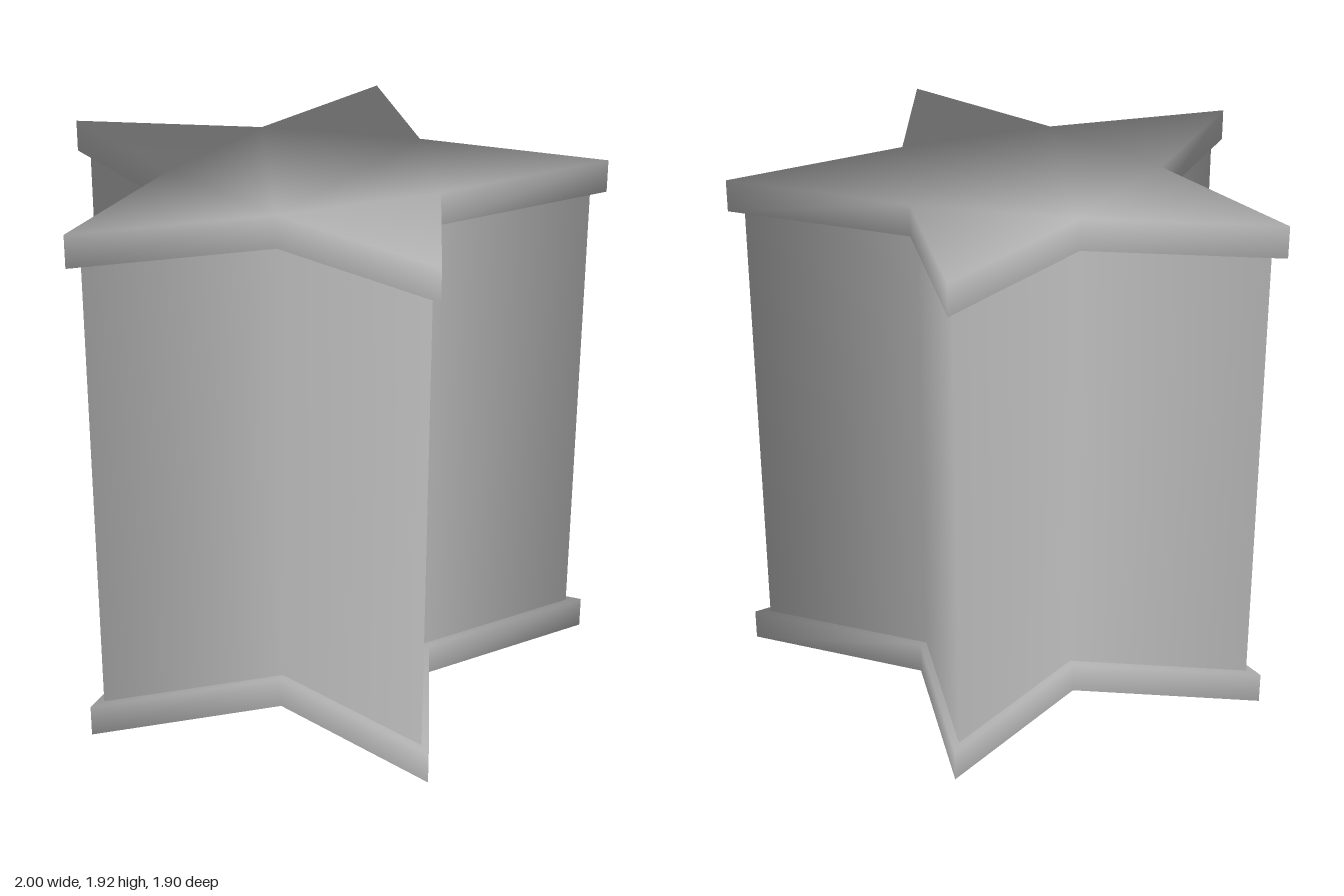
import * as THREE from 'three';

const TIP = 1.051, NOTCH = 0.51, CENTRE_Z = 0.1;

// Star prism with soft normals shared by its walls and caps; even corners are notches, odd are tips
function starPrism(scale, height, lift) {
  const positions = [], normals = [], index = [];
  for (const side of [0, 1]) {
    for (let i = 0; i < 10; i++) {
      const a = (i * Math.PI) / 5;
      const r = scale * (i % 2 ? TIP : NOTCH);
      positions.push(r * Math.sin(a), side * height, r * Math.cos(a));
      const n = new THREE.Vector3(Math.sin(a), side ? lift : -lift, Math.cos(a)).normalize();
      normals.push(n.x, n.y, n.z);
    }
  }
  const cap = (a, b, c) => {
    index.push(a + 10, b + 10, c + 10); // top
    index.push(a, c, b); // bottom
  };
  for (let i = 0; i < 10; i++) {
    const j = (i + 1) % 10;
    index.push(i, j, j + 10, i, j + 10, i + 10);
    if (i % 2 === 0) cap(i, i + 1, (i + 2) % 10); // one triangle per arm
  }
  // Pentagon between the notches
  for (let i = 2; i < 8; i += 2) cap(0, i, i + 2);

  const geometry = new THREE.BufferGeometry();
  geometry.setAttribute('position', new THREE.Float32BufferAttribute(positions, 3));
  geometry.setAttribute('normal', new THREE.Float32BufferAttribute(normals, 3));
  geometry.setIndex(index);
  return geometry;
}

export function createModel() {
  const group = new THREE.Group();
  group.name = 'starColumn';
  const grey = new THREE.MeshStandardMaterial({ color: 0xbfbfbf });
  grey.name = 'light grey';

  const add = (name, geometry, y) => {
    const mesh = new THREE.Mesh(geometry, grey);
    mesh.name = name;
    mesh.position.set(0, y, CENTRE_Z);
    group.add(mesh);
  };

  // Slightly narrower shaft between two equal rims
  const rim = starPrism(1, 0.117, 0.2);
  add('bottomRim', rim, 0);
  add('shaft', starPrism(0.943, 1.686, 0), 0.117);
  add('topRim', rim, 1.803);
  return group;
}
